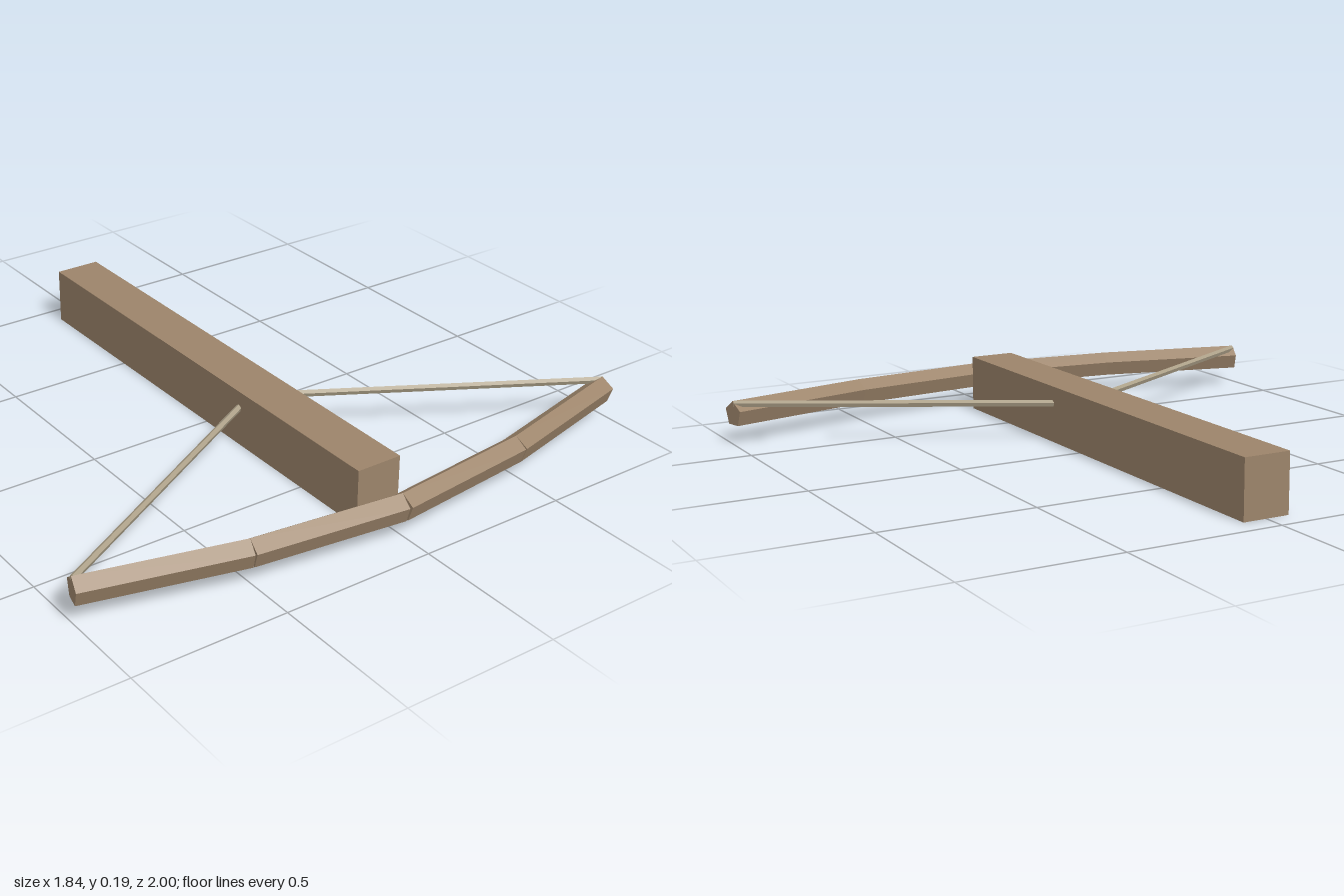
import * as THREE from 'three';

export function createModel() {
  const wood = new THREE.MeshStandardMaterial({ color: 0x9c846a });
  wood.name = 'wood';
  const cord = new THREE.MeshStandardMaterial({ color: 0xaca088 });
  cord.name = 'cord';
  wood.flatShading = cord.flatShading = true;

  const model = new THREE.Group();
  model.name = 'crossbow';

  // Five-sided rod between two points, with one ridge pointing up
  const rod = (name, from, to, radius, material) => {
    const dir = to.clone().sub(from);
    const length = dir.length();
    dir.normalize();
    const up = new THREE.Vector3(0, 1, 0);
    const side = dir.clone().cross(up);
    const mesh = new THREE.Mesh(new THREE.CylinderGeometry(radius, radius, length, 5), material);
    mesh.quaternion.setFromRotationMatrix(new THREE.Matrix4().makeBasis(side, dir, up));
    mesh.position.copy(from).add(to).multiplyScalar(0.5);
    mesh.name = name;
    model.add(mesh);
  };

  // Stock: a plain square beam
  const stock = new THREE.Mesh(new THREE.BoxGeometry(1.695, 0.187, 0.154), wood);
  stock.position.set(-0.0775, 0.0935, 0);
  stock.name = 'stock';
  model.add(stock);

  // Bow limbs (two straight pieces per side) and the drawn string
  const limb = [[0.877, 0], [0.819, 0.495], [0.695, 0.99]];
  for (const [label, s] of [['left', 1], ['right', -1]]) {
    const points = limb.map(([x, z]) => new THREE.Vector3(x, 0.096, s * z));
    rod(label + 'InnerLimb', points[0], points[1], 0.0443, wood);
    rod(label + 'OuterLimb', points[1], points[2], 0.0443, wood);
    rod(label + 'String', new THREE.Vector3(0.135, 0.13, 0),
      new THREE.Vector3(0.695, 0.13, s * 0.985), 0.0115, cord);
  }
  return model;
}
